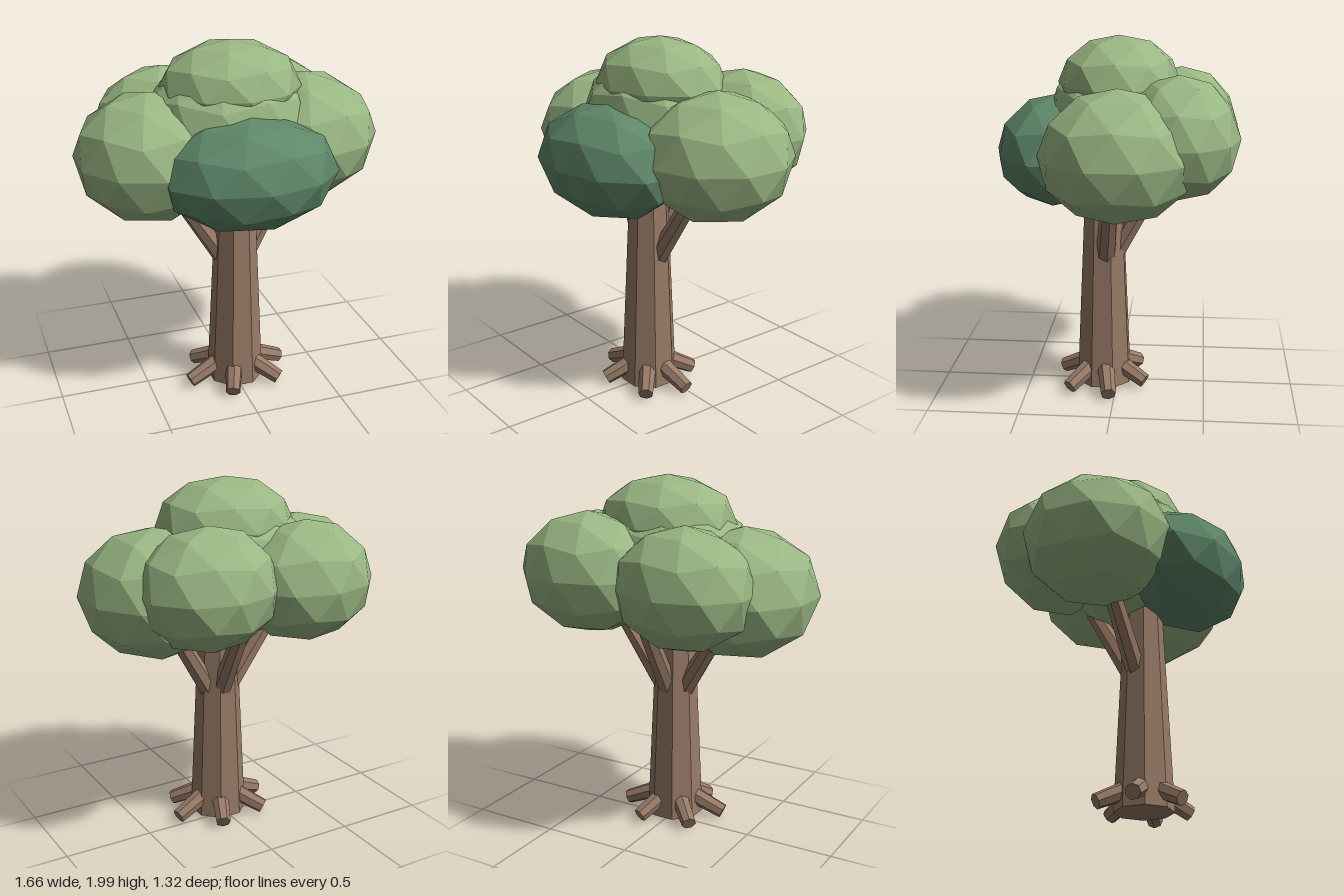
import * as THREE from 'three';

const UP = new THREE.Vector3(0, 1, 0);

function makeMaterial(name, color) {
  const material = new THREE.MeshStandardMaterial({ color, flatShading: true });
  material.name = name;
  return material;
}

// Tapered faceted cylinder running from point a to point b
function limb(name, a, b, radiusA, radiusB, sides, material) {
  const start = new THREE.Vector3(...a);
  const end = new THREE.Vector3(...b);
  const dir = end.clone().sub(start);
  const geometry = new THREE.CylinderGeometry(radiusB, radiusA, dir.length(), sides);
  const mesh = new THREE.Mesh(geometry, material);
  mesh.name = name;
  mesh.position.copy(start).add(end).multiplyScalar(0.5);
  mesh.quaternion.setFromUnitVectors(UP, dir.normalize());
  return mesh;
}

// Squashed low-poly ball of leaves with a vertex pointing straight up
function leafClump(name, center, radii, material) {
  const geometry = new THREE.IcosahedronGeometry(1, 1);
  geometry.rotateZ(Math.atan(2 / (1 + Math.sqrt(5))));
  geometry.scale(...radii);
  const mesh = new THREE.Mesh(geometry, material);
  mesh.name = name;
  mesh.position.set(...center);
  return mesh;
}

export function createModel() {
  const tree = new THREE.Group();
  tree.name = 'tree';
  const bark = makeMaterial('bark brown', 0x977a66);
  const leaf = makeMaterial('leaf green', 0x99b783);
  const darkLeaf = makeMaterial('dark leaf green', 0x5e8769);

  // Trunk, with a flat face to the front
  const cx = 0.01, cz = 0.075;
  const trunk = limb('trunk', [cx, 0.025, cz], [cx, 1.3, cz], 0.16, 0.102, 8, bark);
  trunk.geometry.rotateY(Math.PI / 8);
  tree.add(trunk);

  // Branches
  const branches = [
    ['leftBranch', [0.07, 0.78, 0.06], [0.34, 1.22, 0.01]],
    ['rightBranch', [-0.05, 0.78, 0.06], [-0.33, 1.22, 0.01]],
    ['backBranch', [0.02, 0.78, 0.02], [0.03, 1.24, -0.24]],
  ];
  for (const [name, a, b] of branches) tree.add(limb(name, a, b, 0.057, 0.045, 7, bark));

  // Roots spread around the foot of the trunk
  for (const degrees of [-70, -11, 45, 108, 168, 228]) {
    const angle = THREE.MathUtils.degToRad(degrees);
    const at = (r, y) => [cx + r * Math.cos(angle), y, cz + 0.86 * r * Math.sin(angle)];
    tree.add(limb('root', at(0.08, 0.145), at(0.295, 0.052), 0.052, 0.042, 7, bark));
  }

  // Crown
  const clumps = [
    ['topLeaves', [0.01, 1.75, -0.01], [0.385, 0.25, 0.33], leaf],
    ['middleLeaves', [-0.015, 1.52, -0.015], [0.465, 0.41, 0.405], leaf],
    ['leftLeaves', [0.45, 1.435, -0.035], [0.4, 0.345, 0.41], leaf],
    ['rightLeaves', [-0.45, 1.41, -0.005], [0.4, 0.35, 0.41], leaf],
    ['backLeftLeaves', [0.3, 1.505, -0.34], [0.385, 0.325, 0.32], leaf],
    ['backRightLeaves', [-0.28, 1.475, -0.34], [0.39, 0.325, 0.32], leaf],
    ['frontLeaves', [0.005, 1.378, 0.325], [0.48, 0.303, 0.335], darkLeaf],
  ];
  for (const clump of clumps) tree.add(leafClump(...clump));

  return tree;
}
